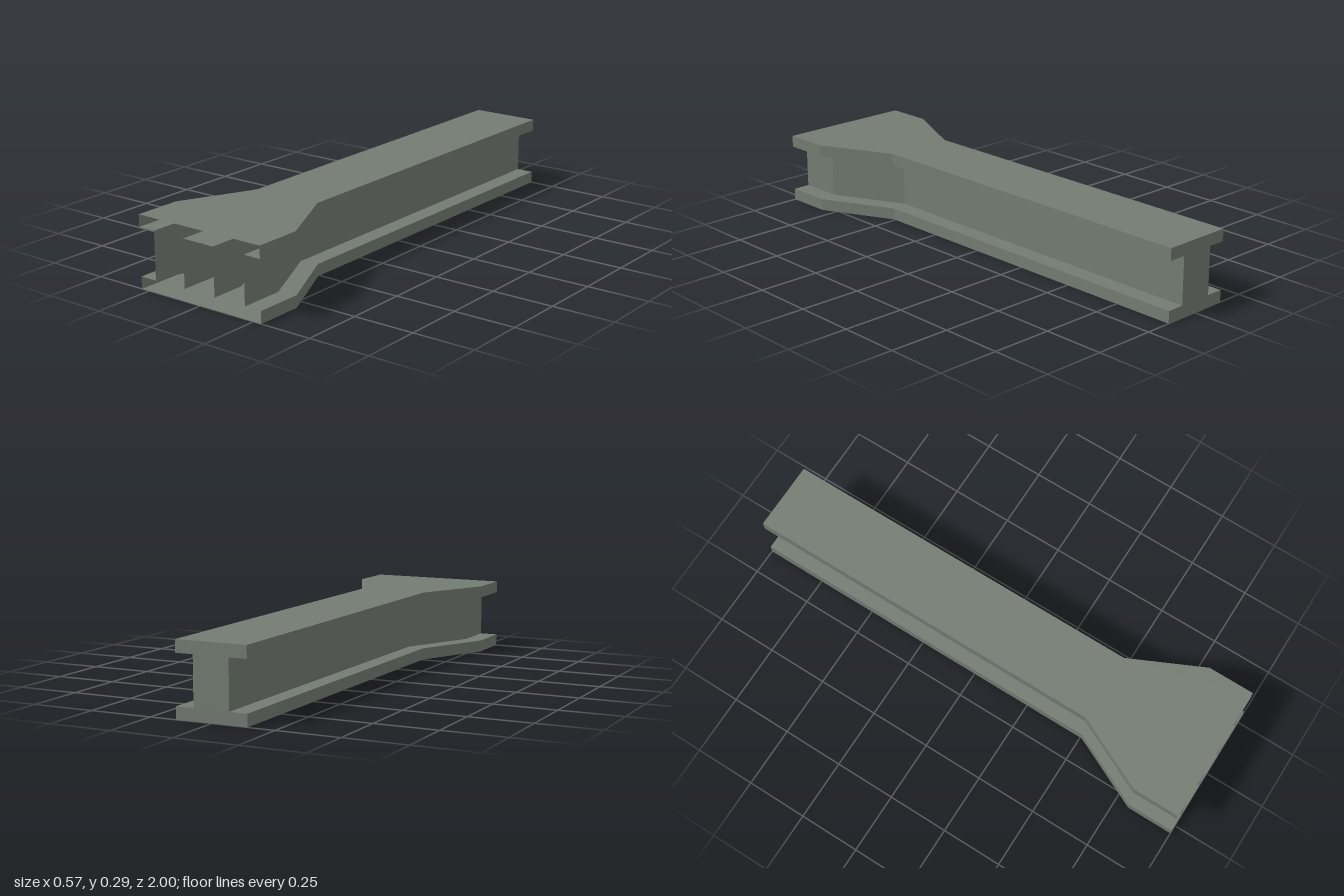
import * as THREE from 'three';

const H = 0.286, T = 0.048; // total height, flange thickness

// Half outlines as [x, z], running from the front end to the back end
const flangeHalf = [[0.286, 1], [0.286, 0.808], [0.143, 0.508], [0.143, -1]];
const webHalf = [[0.213, 1], [0.213, 0.822], [0.0715, 0.522], [0.0715, -1]];
const forkGap = [[-0.0715, 1], [-0.0715, 0.857], [0, 0.707], [0.0715, 0.857], [0.0715, 1]];

const flip = (pts) => pts.map(([x, z]) => [-x, z]);
const mirrored = (half) => [...half, ...flip(half).reverse()];

// Upright strip along an open path, leaving the front end open
function wall(path, y0, y1) {
  const pos = [];
  for (let i = 0; i < path.length - 1; i++) {
    const [ax, az] = path[i], [bx, bz] = path[i + 1];
    pos.push(ax, y0, az, bx, y0, bz, bx, y1, bz);
    pos.push(ax, y0, az, bx, y1, bz, ax, y1, az);
  }
  const g = new THREE.BufferGeometry();
  g.setAttribute('position', new THREE.Float32BufferAttribute(pos, 3));
  g.computeVertexNormals();
  return g;
}

// Flat horizontal sheet facing up or down
function sheet(outline, y, up) {
  const s = up ? -1 : 1;
  const shape = new THREE.Shape(outline.map(([x, z]) => new THREE.Vector2(x, s * z)));
  return new THREE.ShapeGeometry(shape).rotateX(s * Math.PI / 2).translate(0, y, 0);
}

export function createModel() {
  const model = new THREE.Group();
  model.name = 'forkedBeam';
  const steel = new THREE.MeshStandardMaterial({ color: 0x737b72, side: THREE.DoubleSide });
  steel.name = 'greySteel';

  const add = (parent, name, geometry) => {
    const mesh = new THREE.Mesh(geometry, steel);
    mesh.name = name;
    parent.add(mesh);
  };

  // Hollow flanges, open at the front and where the web joins them
  const ledge = [...flangeHalf, ...[...webHalf].reverse()];
  for (const top of [false, true]) {
    const flange = new THREE.Group();
    flange.name = top ? 'topFlange' : 'bottomFlange';
    const y0 = top ? H - T : 0;
    const inner = top ? H - T : T;
    add(flange, 'flangeRim', wall(mirrored(flangeHalf), y0, y0 + T));
    add(flange, 'flangeOuterFace', sheet(mirrored(flangeHalf), top ? H : 0, top));
    add(flange, 'leftLedge', sheet(ledge, inner, !top));
    add(flange, 'rightLedge', sheet(flip(ledge), inner, !top));
    add(flange, 'forkLedge', sheet(forkGap, inner, !top));
    model.add(flange);
  }

  // Web that splits into two hollow prongs at the front
  const web = new THREE.Group();
  web.name = 'web';
  add(web, 'webOuterWall', wall(mirrored(webHalf), T, H - T));
  add(web, 'forkInnerWall', wall(forkGap, T, H - T));
  model.add(web);

  return model;
}
